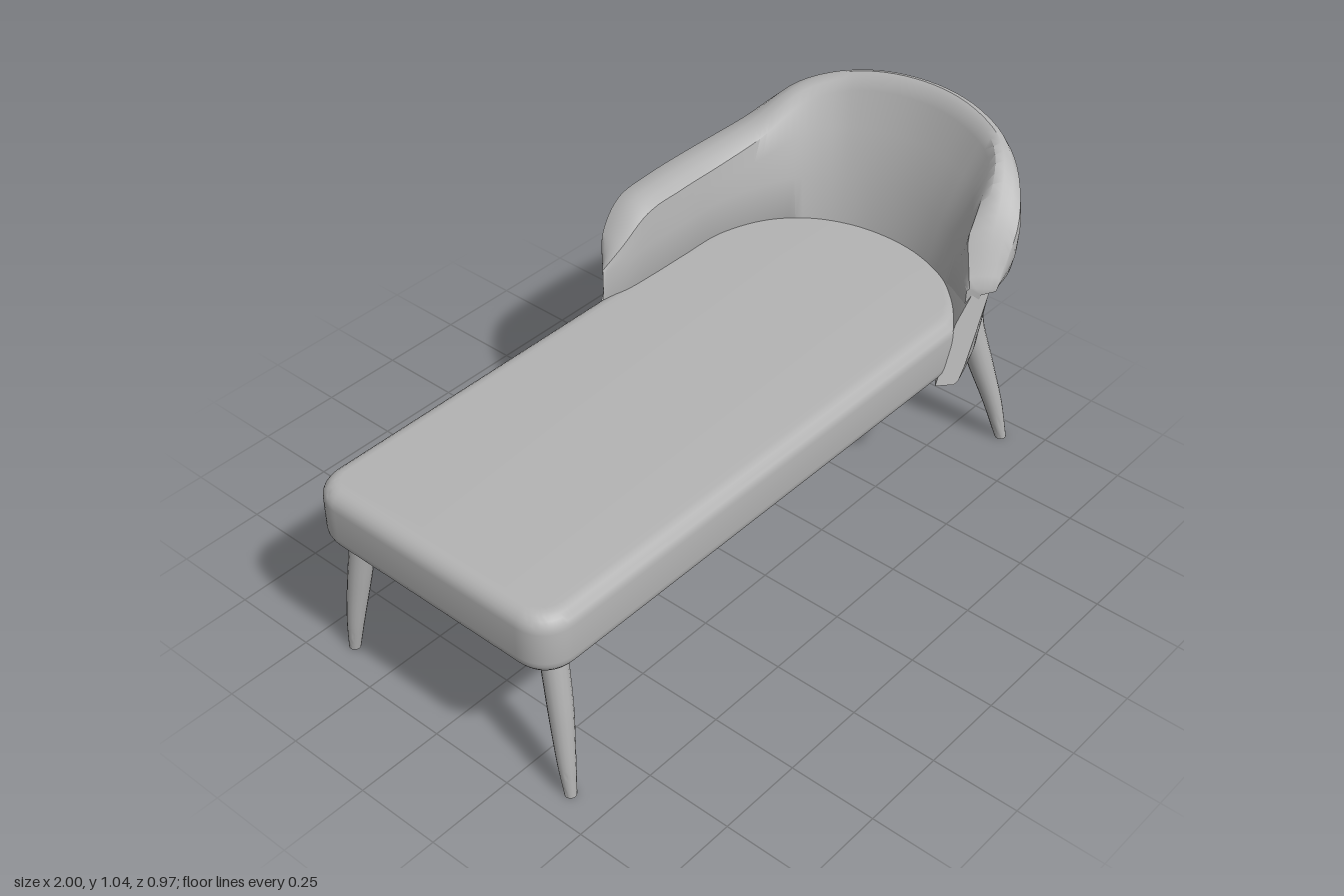
import * as THREE from 'three';
import { toCreasedNormals } from 'three/addons/utils/BufferGeometryUtils.js';

const grey = new THREE.MeshStandardMaterial({ color: 0xb4b4b4 });
grey.name = 'soft grey';

const lerp = THREE.MathUtils.lerp;
const curve = (pts) => new THREE.CatmullRomCurve3(pts.map((p) => new THREE.Vector3(...p)));

// Closed solid from a list of rings, each running counter-clockwise about the path
function loft(rings, crease = 0.7) {
  const n = rings[0].length, last = rings.length - 1;
  const pos = [], idx = [];
  rings.forEach((r) => r.forEach((p) => pos.push(...p)));
  for (let i = 0; i < last; i++) {
    for (let j = 0; j < n; j++) {
      const k = (j + 1) % n;
      const a = i * n + j, b = a + n, c = i * n + k, d = c + n;
      idx.push(a, c, b, c, d, b);
    }
  }
  // fan caps around the middle of each end ring
  [0, last].forEach((i) => {
    const centre = pos.length / 3;
    pos.push(...[0, 1, 2].map((m) => rings[i].reduce((s, p) => s + p[m], 0) / n));
    for (let j = 0; j < n; j++) {
      const a = i * n + j, b = i * n + ((j + 1) % n);
      if (i === 0) idx.push(centre, b, a);
      else idx.push(centre, a, b);
    }
  });
  const g = new THREE.BufferGeometry();
  g.setAttribute('position', new THREE.Float32BufferAttribute(pos, 3));
  g.setIndex(idx);
  return toCreasedNormals(g, crease);
}

// Plan curves of the wraparound back, from the long arm round to the short side.
// For the outer curve, y is the height of the top edge.
const outer = curve([
  [0.08, 0.70, -0.41], [0.13, 0.76, -0.455], [0.22, 0.825, -0.48], [0.36, 0.835, -0.49],
  [0.52, 0.84, -0.488], [0.70, 0.885, -0.44], [0.85, 0.97, -0.36], [0.955, 1.02, -0.2],
  [1.0, 1.037, 0], [0.975, 1.03, 0.2], [0.9, 0.99, 0.36], [0.80, 0.87, 0.455], [0.68, 0.70, 0.475],
]);
const inner = curve([
  [0.05, 0, -0.38], [0.12, 0, -0.358], [0.22, 0, -0.352], [0.36, 0, -0.35], [0.5, 0, -0.345],
  [0.64, 0, -0.29], [0.73, 0, -0.2], [0.78, 0, -0.09], [0.795, 0, 0.02], [0.785, 0, 0.13],
  [0.745, 0, 0.24], [0.69, 0, 0.33], [0.63, 0, 0.41],
]);
const lower = curve([
  [0.0, 0, -0.40], [0.1, 0, -0.445], [0.22, 0, -0.46], [0.36, 0, -0.462], [0.5, 0, -0.458],
  [0.66, 0, -0.42], [0.78, 0, -0.33], [0.86, 0, -0.17], [0.885, 0, 0], [0.87, 0, 0.18],
  [0.81, 0, 0.33], [0.74, 0, 0.42], [0.68, 0, 0.455],
]);

const STEPS = 72;
const SEAM = 0.69;

// Padded upper band: upright on the arm, leaning back where it is tall
function upperBand() {
  const rings = [];
  for (let i = 0; i <= STEPS; i++) {
    const t = i / STEPS;
    const o = outer.getPoint(t), q = inner.getPoint(t);
    const h = Math.max(o.y - SEAM, 0.01);
    const lean = THREE.MathUtils.clamp((h - 0.14) / 0.18, 0, 1);
    const top = lerp(0.12, 0.66, lean);
    const profile = [
      [0.85, SEAM], [0.92, SEAM + 0.1 * h], [0.98, SEAM + 0.4 * h], [1, SEAM + 0.72 * h],
      [0.97, SEAM + 0.92 * h], [lerp(top, 1, 0.75), SEAM + 0.985 * h], [lerp(top, 1, 0.5), SEAM + h],
      [lerp(top, 1, 0.22), SEAM + 0.97 * h], [top, SEAM + 0.87 * h], [top * 0.68, SEAM + 0.58 * h],
      [top * 0.25, SEAM + 0.18 * h], [0, 0.6], [0.1, 0.57], [0.5, SEAM - 0.005],
    ];
    rings.push(profile.map(([u, y]) => [lerp(q.x, o.x, u), y, lerp(q.z, o.z, u)]));
  }
  return loft(rings);
}

// Recessed lower panel with slanted ends
function lowerPanel() {
  const profile = [
    [0.72, 0.43], [0.86, 0.44], [0.93, 0.48], [0.97, 0.57], [1, SEAM],
    [0.35, SEAM], [0, 0.6], [-0.05, 0.43],
  ];
  const rings = [];
  for (let i = 0; i <= STEPS; i++) {
    const t = i / STEPS;
    const o = lower.getPoint(t), q = inner.getPoint(t);
    const start = Math.max(0, 1 - t / 0.15), end = Math.max(0, 1 - (1 - t) / 0.15);
    rings.push(profile.map(([u, y]) => [
      lerp(q.x, o.x, u) + start * 0.38 * (y - 0.43) + end * 0.4 * (y - SEAM),
      y, lerp(q.z, o.z, u),
    ]));
  }
  return loft(rings);
}

// Seat cushion with soft edges and a rounded end inside the back
function seatCushion() {
  const s = new THREE.Shape();
  s.moveTo(-0.9, -0.37);
  s.lineTo(0.57, -0.37);
  s.bezierCurveTo(0.7, -0.34, 0.8, -0.18, 0.8, 0);
  s.bezierCurveTo(0.8, 0.2, 0.68, 0.355, 0.45, 0.355);
  s.lineTo(-0.9, 0.355);
  s.quadraticCurveTo(-0.955, 0.355, -0.955, 0.3);
  s.lineTo(-0.955, -0.315);
  s.quadraticCurveTo(-0.955, -0.37, -0.9, -0.37);
  const g = new THREE.ExtrudeGeometry(s, {
    depth: 0.09, bevelThickness: 0.045, bevelSize: 0.045, bevelSegments: 6, curveSegments: 16,
  });
  g.rotateX(-Math.PI / 2).translate(0, 0.478, 0);
  return toCreasedNormals(g, 0.7);
}

// Round leg along a path of [x, y, z, radius], listed from foot to top
function leg(points, side) {
  const path = curve(points.map(([x, y, z]) => [x, y, z * side]));
  const radius = curve(points.map((p) => [p[3], 0, 0]));
  const rings = [];
  for (let i = 0; i <= 20; i++) {
    const c = path.getPoint(i / 20), r = radius.getPoint(i / 20).x;
    const ring = [];
    for (let j = 0; j < 16; j++) {
      const a = (-j / 16) * Math.PI * 2;
      ring.push([c.x + r * Math.cos(a), c.y, c.z + r * Math.sin(a)]);
    }
    rings.push(ring);
  }
  return loft(rings);
}

export function createModel() {
  const model = new THREE.Group();
  model.name = 'chaiseLongue';
  const add = (name, geometry, x = 0, y = 0, z = 0) => {
    const mesh = new THREE.Mesh(geometry, grey);
    mesh.name = name;
    mesh.position.set(x, y, z);
    model.add(mesh);
  };

  add('seatCushion', seatCushion());
  add('backUpperBand', upperBand());
  add('backLowerPanel', lowerPanel());

  // Legs, mirrored across the long axis
  const footLeg = [[-0.922, 0, 0.393, 0.016], [-0.918, 0.1, 0.38, 0.024],
    [-0.905, 0.27, 0.355, 0.033], [-0.893, 0.45, 0.325, 0.036]];
  const headLeg = [[0.93, 0, 0.387, 0.017], [0.905, 0.13, 0.363, 0.028], [0.865, 0.3, 0.325, 0.039],
    [0.838, 0.45, 0.295, 0.042], [0.855, 0.57, 0.288, 0.039], [0.885, 0.7, 0.288, 0.036]];
  for (const side of [1, -1]) {
    const label = side > 0 ? 'Front' : 'Back';
    add('footLeg' + label, leg(footLeg, side));
    add('headLeg' + label, leg(headLeg, side));
    add('longRail' + label, new THREE.BoxGeometry(1.7, 0.07, 0.045), -0.025, 0.398, 0.305 * side);
  }

  // Cross rails of the underframe
  for (const x of [-0.865, 0.82]) {
    add('crossRail', new THREE.BoxGeometry(0.045, 0.075, 0.6), x, 0.395, 0);
  }
  return model;
}
